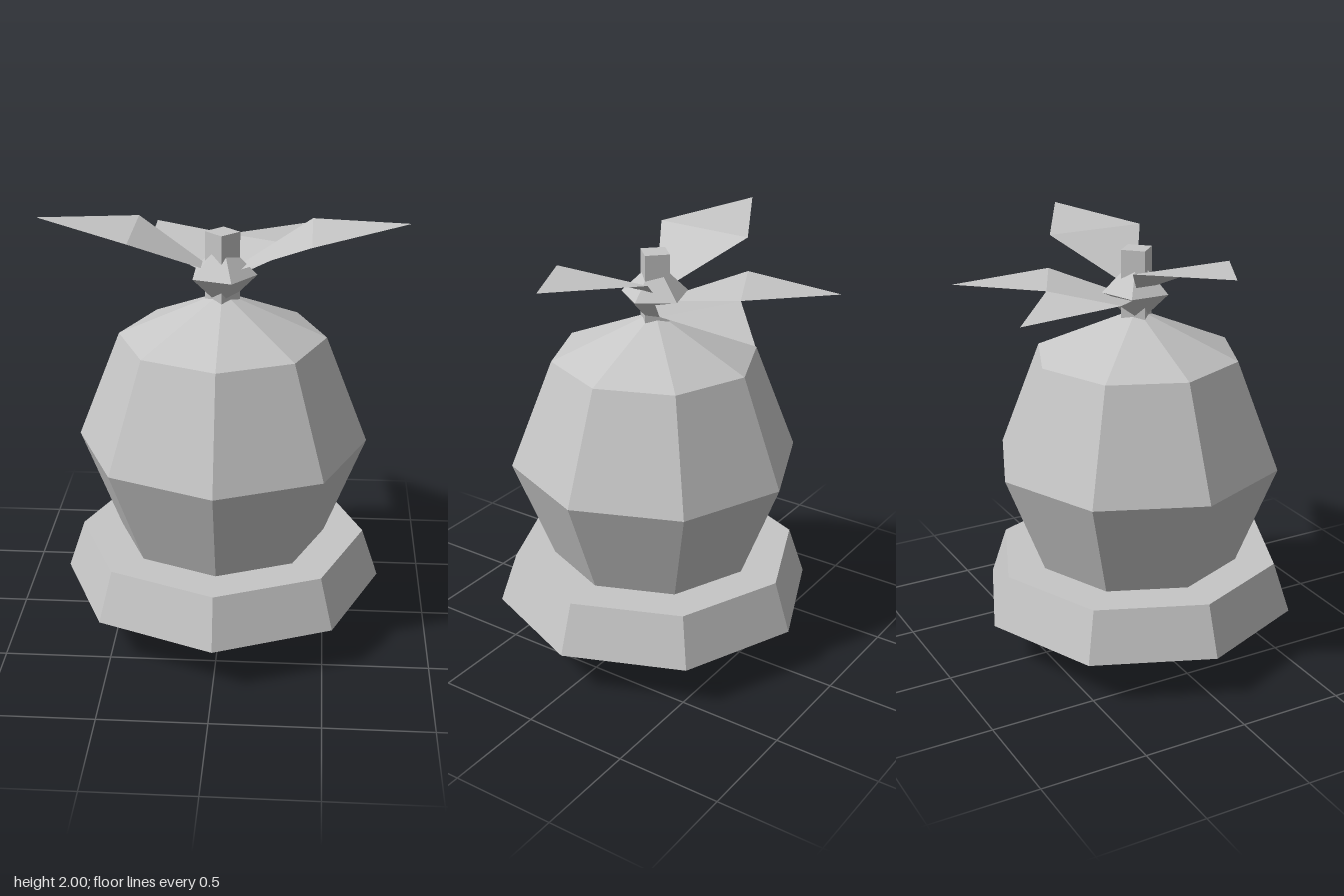
import * as THREE from 'three';

export function createModel() {
  const grey = new THREE.MeshStandardMaterial({ color: 0xc6c6c6, flatShading: true });
  const leafGrey = new THREE.MeshStandardMaterial({ color: 0xc6c6c6, flatShading: true, side: THREE.DoubleSide });
  grey.name = 'bell grey';
  leafGrey.name = 'leaf grey';
  const model = new THREE.Group();
  model.name = 'bell';

  const add = (name, geometry, y = 0, material = grey) => {
    const mesh = new THREE.Mesh(geometry, material);
    mesh.name = name;
    mesh.position.y = y;
    model.add(mesh);
    return mesh;
  };

  // Bell body: stretched eight-sided sphere
  add('bellBody', new THREE.SphereGeometry(0.684, 8, 4).scale(1, 1.062, 1), 0.94);

  // Flared rim
  add('rim', new THREE.CylinderGeometry(0.685, 0.765, 0.24, 8), 0.335);

  // Clapper and top knot: five-sided double pyramids
  add('clapper', new THREE.SphereGeometry(0.22, 5, 2).rotateY(Math.PI), 0.22);
  add('knot', new THREE.SphereGeometry(0.16, 5, 2).rotateY(Math.PI), 1.75);

  // Square post set on its corner
  add('post', new THREE.CylinderGeometry(0.08, 0.08, 0.35, 4), 1.775);

  // Kite-shaped leaf along +x with a fold across its widest line
  const leaf = (name, angle, heights, halfWidth, tip) => {
    const [rootY, midY, tipY] = heights;
    const geometry = new THREE.BufferGeometry();
    geometry.setAttribute('position', new THREE.Float32BufferAttribute([
      0.09, rootY, -0.05, 0.09, rootY, 0.05,
      0.405, midY, -halfWidth, 0.405, midY, halfWidth,
      tip, tipY, 0,
    ], 3));
    geometry.setIndex([0, 1, 3, 0, 3, 2, 2, 3, 4]);
    geometry.rotateY(angle);
    geometry.computeVertexNormals();
    add(name, geometry, 0, leafGrey);
  };

  // Raised side leaves and flatter back leaves
  const side = [1.79, 1.952, 2.0];
  const back = [1.735, 1.808, 1.787];
  const backAngle = Math.atan2(2, 1);
  leaf('leftLeaf', 0, side, 0.24, 0.845);
  leaf('rightLeaf', Math.PI, side, 0.24, 0.845);
  leaf('backLeftLeaf', backAngle, back, 0.203, 0.84);
  leaf('backRightLeaf', Math.PI - backAngle, back, 0.203, 0.84);

  return model;
}
